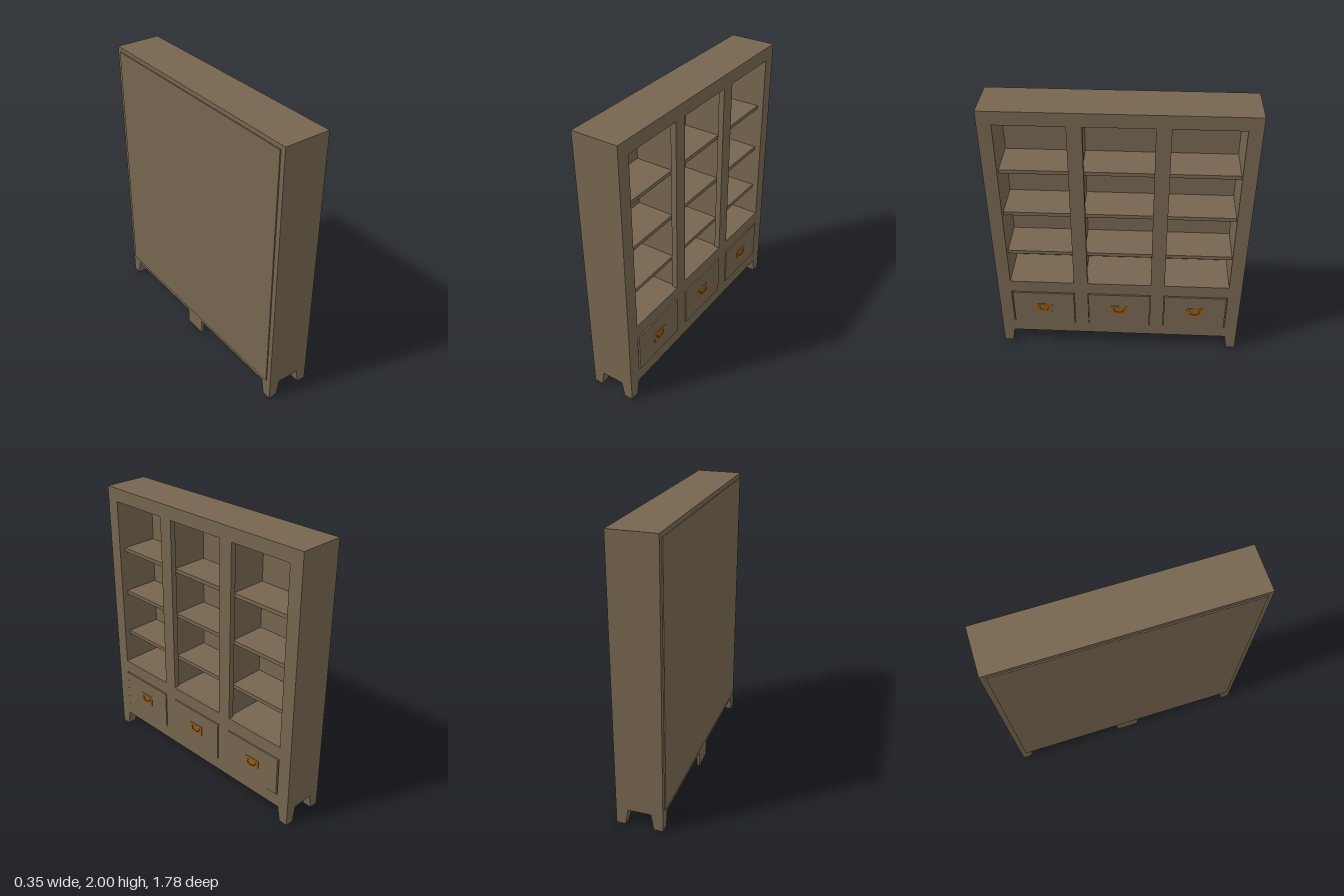
import * as THREE from 'three';

const wood = new THREE.MeshStandardMaterial({ color: 0x75654f });
const brass = new THREE.MeshStandardMaterial({ color: 0x8f5c1c });

// Overall extents: the open side faces +x, the width runs along z
const BACK = -0.167, FRONT = 0.16, HALF = 0.89, BASE = 0.115, TOP = 2;
const INNER = 0.795, FLOOR = 0.61, CEIL = 1.905;

export function createModel() {
  const model = new THREE.Group();
  model.name = 'bookcase';

  // Box given by its min and max along each axis
  const box = (name, x0, x1, y0, y1, z0, z1, mat = wood, parent = model) => {
    const mesh = new THREE.Mesh(new THREE.BoxGeometry(x1 - x0, y1 - y0, z1 - z0), mat);
    mesh.position.set((x0 + x1) / 2, (y0 + y1) / 2, (z0 + z1) / 2);
    mesh.name = name;
    parent.add(mesh);
    return mesh;
  };

  // Carcass
  box('leftSide', BACK, FRONT, BASE, TOP, INNER, HALF);
  box('rightSide', BACK, FRONT, BASE, TOP, -HALF, -INNER);
  box('top', BACK, FRONT, CEIL, TOP, -INNER, INNER);
  box('backPanel', -0.175, -0.155, 0.15, 1.97, -0.855, 0.855);

  // Drawer section: core, rails and posts framing three openings
  box('drawerCore', -0.155, 0.145, 0.21, 0.512, -INNER, INNER);
  box('bottomRail', BACK, FRONT, BASE, 0.21, -INNER, INNER);
  box('cabinetDeck', BACK, FRONT, 0.512, FLOOR, -INNER, INNER);

  for (const s of [-1, 1]) {
    const z = s * 0.28;
    box('drawerPost', 0.145, FRONT, 0.21, 0.512, z - 0.05, z + 0.05);
    // Upright between the bays, with a wider stile in front
    box('divider', -0.155, 0.12, FLOOR, CEIL, z - 0.035, z + 0.035);
    box('dividerStile', 0.12, FRONT, FLOOR, CEIL, z - 0.05, z + 0.05);
  }

  // Shelves, three per bay, set back from the front
  const bays = [[-INNER, -0.315], [-0.245, 0.245], [0.315, INNER]];
  for (const [z0, z1] of bays)
    for (const y of [0.838, 1.178, 1.52]) box('shelf', -0.155, 0.115, y, y + 0.027, z0, z1);

  // Drawers with brass bail pulls
  for (const z of [-0.56, 0, 0.56]) {
    const drawer = new THREE.Group();
    drawer.name = 'drawer';
    drawer.position.z = z;
    model.add(drawer);
    box('drawerFront', 0.145, 0.166, 0.216, 0.507, -0.226, 0.226, wood, drawer);
    box('pullPlate', 0.166, 0.169, 0.325, 0.4, -0.061, 0.061, brass, drawer);
    for (const s of [-1, 1]) {
      const post = new THREE.Mesh(new THREE.CylinderGeometry(0.006, 0.006, 0.006, 12), brass);
      post.rotation.z = Math.PI / 2;
      post.position.set(0.171, 0.372, s * 0.035);
      post.name = 'pullPost';
      drawer.add(post);
    }
    const path = new THREE.CatmullRomCurve3([
      [0.372, -0.035], [0.352, -0.03], [0.345, -0.013], [0.345, 0.013], [0.352, 0.03], [0.372, 0.035],
    ].map(([y, pz]) => new THREE.Vector3(0.172, y, pz)));
    const bail = new THREE.Mesh(new THREE.TubeGeometry(path, 24, 0.003, 8), brass);
    bail.name = 'pullBail';
    drawer.add(bail);
  }

  // Corner legs: outer faces upright, inner faces tapering toward the foot
  for (const sx of [-1, 1]) for (const sz of [-1, 1]) {
    const x = sx > 0 ? FRONT : BACK;
    const leg = box('leg', Math.min(x, x - sx * 0.084), Math.max(x, x - sx * 0.084), 0, BASE,
      Math.min(sz * HALF, sz * 0.805), Math.max(sz * HALF, sz * 0.805));
    const p = leg.geometry.attributes.position;
    for (let i = 0; i < p.count; i++) {
      if (p.getY(i) > 0) continue;
      if (p.getX(i) * sx < 0) p.setX(i, p.getX(i) + sx * 0.02);
      if (p.getZ(i) * sz < 0) p.setZ(i, p.getZ(i) + sz * 0.02);
    }
    leg.geometry.computeVertexNormals();
  }

  // Flat support under the middle of the back edge
  box('centreSupport', BACK, BACK + 0.02, 0, BASE, -0.086, 0.086);

  return model;
}
